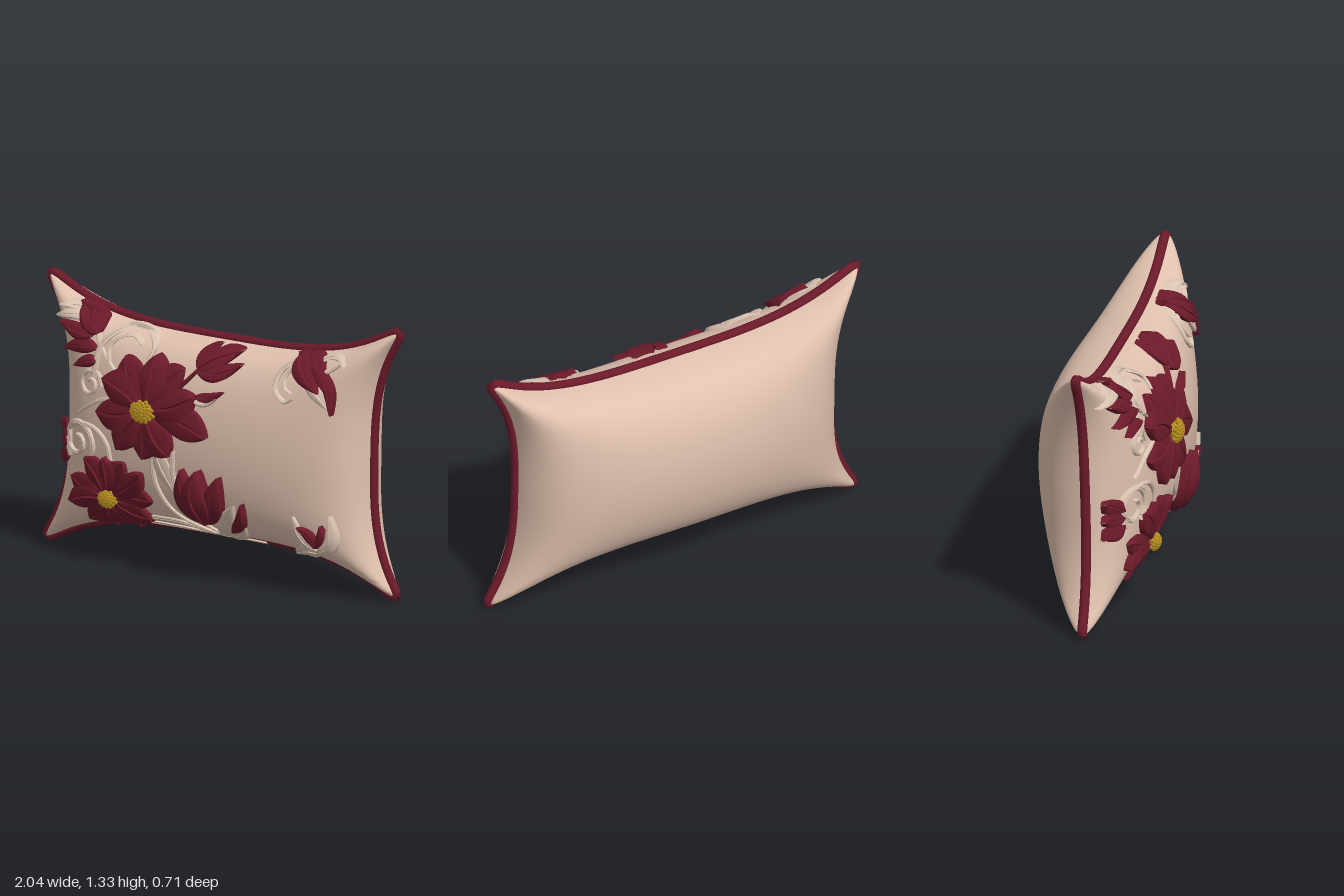
import * as THREE from 'three';
import { mergeGeometries, toCreasedNormals } from 'three/addons/utils/BufferGeometryUtils.js';

const makeMaterial = (name, color) => Object.assign(new THREE.MeshStandardMaterial({ color }), { name });

// Cushion plan: a square (u, v) pulled out into four horn-like corners
const halfW = (v) => 0.853 + 0.21 * Math.abs(v) ** 3;
const halfH = (u) => 0.472 + 0.24 * Math.abs(u) ** 3.5;
const CY = 0.63;
const seamZ = (y) => 0.006 - 0.026 * y;
const puff = (u, v) => Math.max(0, 1 - u * u) ** 0.34 * Math.max(0, 1 - v * v) ** 0.38;

// Height of the front fabric above a point in the plan
function frontZ(x, y) {
  let u = 0, v = 0;
  for (let i = 0; i < 16; i++) {
    u = THREE.MathUtils.clamp(x / halfW(v), -0.985, 0.985);
    v = THREE.MathUtils.clamp((y - CY) / halfH(u), -0.985, 0.985);
  }
  return seamZ(y) + 0.285 * puff(u, v);
}

// Grid surface from a point rule; i runs forward, j runs to the left
function gridSurface(rows, cols, closed, point, flip = false, crease = 0.9) {
  const pos = [], index = [];
  for (let i = 0; i < rows; i++) for (let j = 0; j < cols; j++) pos.push(...point(i, j));
  for (let i = 0; i < rows - 1; i++) {
    for (let j = 0; j < (closed ? cols : cols - 1); j++) {
      const k = (j + 1) % cols;
      const a = i * cols + j, b = i * cols + k, c = a + cols, d = b + cols;
      if (flip) index.push(a, d, c, a, b, d);
      else index.push(a, c, d, a, d, b);
    }
  }
  const geo = new THREE.BufferGeometry();
  geo.setAttribute('position', new THREE.Float32BufferAttribute(pos, 3));
  geo.setIndex(index);
  return toCreasedNormals(geo, crease);
}

// Width rules along a strip
const petal = (t) => 0.16 * (1 - t) + Math.sin(Math.PI * t ** 1.35) ** 0.75;
const leaf = (t) => Math.sin(Math.PI * t ** 0.85) ** 0.85 + 0.02;
const vine = (t) => 1 - 0.5 * t;

// Raised strip draped on the front fabric along a plan path [[x, y], ...]
const ACROSS = [-1, -1, -0.6, -0.12, 0, 0.12, 0.6, 1, 1];
const RISE = [-1, 0.65, 0.95, 1, 0.72, 1, 0.95, 0.65, -1];
function strip(path, width, height, rule, lift = 0) {
  const curve = new THREE.CatmullRomCurve3(path.map(([x, y]) => new THREE.Vector3(x, y, 0)));
  const n = rule === vine ? 10 * path.length : 18;
  return gridSurface(n + 1, ACROSS.length, false, (i, j) => {
    const t = i / n, p = curve.getPoint(t), d = curve.getTangent(t);
    const w = width * Math.max(0, rule(Math.min(t, 0.9999)));
    const x = p.x - d.y * w * ACROSS[j], y = p.y + d.x * w * ACROSS[j];
    const top = RISE[j] < 0 ? -0.012 : height * RISE[j] + lift * Math.sin(Math.PI * (0.15 + 0.7 * t));
    return [x, y, frontZ(x, y) + top];
  }, false, 0.6);
}

export function createModel() {
  const model = new THREE.Group();
  const fabric = makeMaterial('blush fabric', 0xdfc0ad);
  const red = makeMaterial('burgundy', 0x6c1a2a);
  const cream = makeMaterial('cream thread', 0xd9c2b0);
  const gold = makeMaterial('gold beads', 0xb58d1e);
  const add = (name, geo, mat) => {
    const mesh = new THREE.Mesh(geo, mat);
    mesh.name = name;
    model.add(mesh);
  };

  // Rounded-square rim
  const rim = new THREE.Path();
  const R = 0.16, Q = Math.PI / 2;
  [[1, 1], [-1, 1], [-1, -1], [1, -1]].forEach(([a, b], i) =>
    rim.absarc(a * (1 - R), b * (1 - R), R, i * Q, (i + 1) * Q, false));
  rim.closePath();
  const M = 240, N = 36;
  const rimPoints = rim.getSpacedPoints(M).slice(0, M);

  // Front and back panels
  const panel = (depth) => gridSurface(N + 1, M, true, (i, j) => {
    const s = 1 - (1 - i / N) ** 2.2;
    const u = rimPoints[j].x * s, v = rimPoints[j].y * s;
    const y = CY + v * halfH(u);
    return [u * halfW(v), y, seamZ(y) + depth * puff(u, v) * (1 - s ** 16) ** 0.35];
  }, depth < 0, 1.2);
  add('frontPanel', panel(0.285), fabric);
  add('backPanel', panel(-0.35), fabric);

  // Piping along the seam
  const seam = new THREE.CatmullRomCurve3(rimPoints.map((p) => {
    const y = CY + p.y * halfH(p.x);
    return new THREE.Vector3(p.x * halfW(p.y), y, seamZ(y));
  }), true);
  add('piping', new THREE.TubeGeometry(seam, 320, 0.024, 10, true), red);

  // Blossoms: petals from the centre to each tip, then a beaded dome
  function blossom(name, [cx, cy], tips, width, r, lift) {
    const petals = tips.map(([x, y], i) => {
      const dx = x - cx, dy = y - cy, bend = i % 2 ? 0.06 : -0.06;
      const mid = [cx + dx * 0.55 - dy * bend, cy + dy * 0.55 + dx * bend];
      return strip([[cx + dx * 0.08, cy + dy * 0.08], mid, [x, y]], width, i % 2 ? 0.026 : 0.036, petal, lift);
    });
    add(name + 'Petals', mergeGeometries(petals), red);
    const z = frontZ(cx, cy) + 0.03 + lift, beads = [];
    const dome = new THREE.IcosahedronGeometry(1, 3);
    beads.push(dome.scale(r * 0.9, r * 0.75, 0.03).translate(cx, cy, z));
    for (let i = 0; i < 48; i++) {
      const q = Math.sqrt((i + 0.5) / 48), a = i * 2.39996;
      beads.push(new THREE.IcosahedronGeometry(0.011, 1).translate(
        cx + r * q * Math.cos(a), cy + r * 0.85 * q * Math.sin(a), z + 0.034 * Math.sqrt(1 - q * q)));
    }
    add(name + 'Centre', mergeGeometries(beads), gold);
  }
  blossom('upperBlossom', [-0.257, 0.77], [
    [-0.245, 1.03], [-0.085, 0.985], [0.015, 0.87], [0.1, 0.69], [-0.107, 0.57],
    [-0.267, 0.53], [-0.417, 0.556], [-0.56, 0.715], [-0.53, 0.88], [-0.42, 1.0]], 0.072, 0.062, 0.012);
  blossom('lowerBlossom', [-0.493, 0.294], [
    [-0.508, 0.5], [-0.39, 0.49], [-0.283, 0.455], [-0.246, 0.315], [-0.278, 0.21], [-0.39, 0.14],
    [-0.524, 0.128], [-0.658, 0.15], [-0.754, 0.24], [-0.738, 0.365], [-0.63, 0.48]], 0.055, 0.046, 0.006);

  // Each entry: [path, half width, height, width rule, lift]
  const strips = (name, mat, list) => add(name, mergeGeometries(list.map((a) => strip(...a))), mat);

  strips('tulip', red, [
    [[[0.06, 0.25], [-0.02, 0.36], [-0.04, 0.52]], 0.056, 0.03, leaf, 0.03],
    [[[0.08, 0.25], [0.12, 0.36], [0.17, 0.51]], 0.052, 0.03, leaf, 0.03],
    [[[0.07, 0.25], [0.04, 0.38], [0.06, 0.53]], 0.066, 0.045, leaf, 0.045],
    [[[0.19, 0.22], [0.25, 0.28], [0.285, 0.39]], 0.026, 0.035, leaf, 0.01]]);
  strips('tulipLeaves', cream, [
    [[[0.1, 0.18], [0.16, 0.27], [0.23, 0.37]], 0.04, 0.028, leaf],
    [[[0.1, 0.17], [0.2, 0.2], [0.27, 0.27]], 0.03, 0.02, leaf]]);
  strips('topBud', red, [
    [[[-0.01, 1.0], [0.0, 1.06], [0.04, 1.1]], 0.032, 0.03, leaf],
    [[[0.0, 1.0], [0.08, 1.05], [0.18, 1.09]], 0.046, 0.04, leaf, 0.01],
    [[[-0.01, 0.99], [0.11, 0.99], [0.22, 1.04]], 0.036, 0.035, leaf, 0.01],
    [[[-0.16, 0.85], [-0.08, 0.91], [0.0, 1.0]], 0.014, 0.022, vine],
    [[[0.01, 0.875], [0.08, 0.875], [0.16, 0.91]], 0.022, 0.03, leaf]]);
  strips('cornerLeaves', red, [
    [[[-0.6, 1.07], [-0.67, 1.12], [-0.76, 1.19]], 0.052, 0.04, leaf],
    [[[-0.64, 1.05], [-0.74, 1.06], [-0.85, 1.09]], 0.034, 0.032, leaf],
    [[[-0.6, 1.0], [-0.7, 1.0], [-0.81, 0.97]], 0.034, 0.032, leaf],
    [[[-0.59, 0.94], [-0.65, 0.935], [-0.73, 0.9]], 0.028, 0.032, leaf]]);
  strips('sideBud', red, [0.44, 0.51, 0.58].map((y, i) =>
    [[[-0.775, 0.51 + (y - 0.51) * 0.5], [-0.82, y], [-0.86, y + (i - 1) * 0.02]], 0.036, 0.022, leaf]));
  strips('rightBuds', red, [
    [[[0.49, 1.13], [0.56, 1.06], [0.67, 0.97]], 0.048, 0.04, leaf],
    [[[0.52, 1.12], [0.62, 1.09], [0.7, 0.98]], 0.036, 0.032, leaf],
    [[[0.63, 1.09], [0.71, 1.0], [0.735, 0.87]], 0.026, 0.035, leaf],
    [[[0.65, 0.21], [0.62, 0.27], [0.57, 0.31]], 0.026, 0.035, leaf],
    [[[0.65, 0.21], [0.685, 0.26], [0.69, 0.33]], 0.024, 0.032, leaf]]);
  strips('creamLeaves', cream, [
    [[[-0.68, 1.12], [-0.78, 1.13], [-0.9, 1.1]], 0.024, 0.022, leaf],
    [[[-0.7, 1.14], [-0.78, 1.165], [-0.87, 1.16]], 0.02, 0.02, leaf],
    [[[-0.2, 0.6], [-0.16, 0.5], [-0.09, 0.38]], 0.042, 0.018, leaf],
    [[[0.0, 0.85], [0.07, 0.85], [0.13, 0.88]], 0.018, 0.024, leaf],
    [[[0.58, 1.01], [0.66, 0.96], [0.73, 0.89]], 0.03, 0.022, leaf],
    [[[0.65, 0.18], [0.73, 0.24], [0.735, 0.38]], 0.036, 0.03, leaf],
    [[[0.67, 0.18], [0.58, 0.18], [0.48, 0.14]], 0.036, 0.022, leaf],
    [[[0.63, 0.19], [0.57, 0.26], [0.55, 0.36]], 0.024, 0.022, leaf],
    [[[-0.76, 0.45], [-0.775, 0.52], [-0.76, 0.6]], 0.022, 0.016, leaf]]);

  // Vines, with scrolls that wind inward from a starting angle
  const scroll = (cx, cy, r, start, turns) => Array.from({ length: 13 }, (_, i) => {
    const a = start + turns * 2 * Math.PI * i / 12, q = r * (1 - 0.75 * i / 12);
    return [cx + q * Math.cos(a), cy + q * Math.sin(a)];
  });
  strips('vines', cream, [
    [[[-0.6, 0.87], [-0.58, 1.02], [-0.5, 1.1], [-0.38, 1.11], [-0.29, 1.05], [-0.3, 0.99]], 0.018, 0.016, vine],
    [[[-0.52, 0.95], [-0.53, 1.03], [-0.44, 1.08], [-0.36, 1.05]], 0.012, 0.016, vine],
    [[[-0.62, 1.07], [-0.57, 1.0], [-0.48, 0.92]], 0.012, 0.016, vine],
    [[[-0.42, 0.8], [-0.56, 0.76], [-0.69, 0.68]], 0.012, 0.016, vine],
    [scroll(-0.62, 0.83, 0.075, 0, 1.4), 0.012, 0.016, vine],
    [scroll(-0.7, 0.54, 0.115, -0.9, 1.4), 0.016, 0.018, vine],
    [[[-0.48, 0.48], [-0.5, 0.56], [-0.57, 0.62], [-0.68, 0.63], [-0.78, 0.58]], 0.013, 0.016, vine],
    [[[-0.22, 0.58], [-0.21, 0.42], [-0.13, 0.28], [0.08, 0.17]], 0.014, 0.016, vine],
    [[[-0.1, 0.6], [-0.1, 0.46], [-0.05, 0.32], [0.1, 0.18]], 0.014, 0.016, vine],
    [[[-0.28, 0.22], [-0.1, 0.22], [0.05, 0.18], [0.32, 0.165]], 0.014, 0.016, vine],
    [[[-0.32, 0.18], [-0.12, 0.18], [0.1, 0.165]], 0.012, 0.014, vine],
    [[[0.51, 1.1], [0.44, 1.05], [0.43, 0.96], [0.49, 0.91], [0.53, 0.93]], 0.015, 0.018, vine],
    [[[0.52, 1.08], [0.47, 1.03], [0.48, 0.97], [0.52, 0.95]], 0.01, 0.016, vine],
    [[[0.6, 1.09], [0.67, 1.13], [0.74, 1.13], [0.77, 1.1]], 0.015, 0.018, vine],
    [[[0.62, 1.07], [0.69, 1.07], [0.75, 1.11]], 0.012, 0.016, vine]]);

  return model;
}
